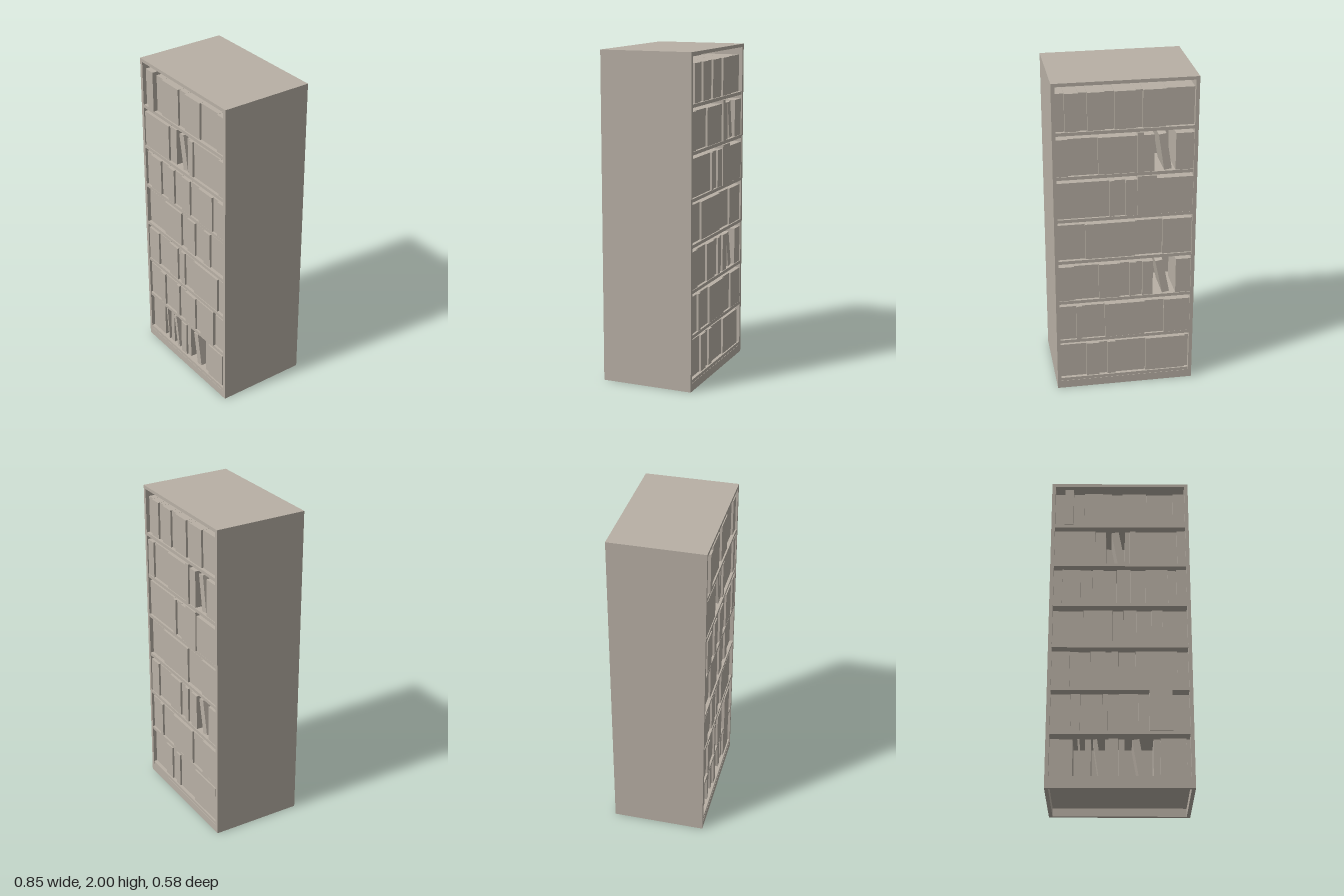
import * as THREE from 'three';

const W = 0.85, D = 0.57, H = 2, T = 0.022;
const BASE = 0.07, PITCH = 0.2725, BOOK_H = 0.228, TALL = 0.25;

// Each row, bottom first: book edges along x, skipped intervals, leaning books, one tall book
const FRONT = [
  { edges: [-.403, -.27, -.2, -.165, -.085, -.065, -.01, .025, .19, .23, .38, .403], gaps: [1, 3, 7],
    leans: [[-.243, -.213, .012], [-.155, -.097, .024], [.068, .148, .042]] },
  { edges: [-.403, -.285, -.23, -.1, -.07, -.005, .105, .17, .305, .403], tall: 7 },
  { edges: [-.403, -.295, -.175, -.085, -.05, -.01, .09, .335, .403] },
  { edges: [-.403, -.22, -.043, .02, .1, .19, .255, .403] },
  { edges: [-.403, -.35, -.24, -.165, -.1, -.02, .065, .155, .29, .34, .403] },
  { edges: [-.403, -.15, -.085, .03, .06, .095, .35, .403], gaps: [2], leans: [[-.053, .032, .045]] },
  { edges: [-.403, -.343, -.288, -.22, -.05, .015, .165, .33, .403], tall: 1 },
];

// Back rows, given along the back's own left-to-right direction
const BACK = [
  { edges: [-.403, -.24, -.16, -.11, -.06, .13, .38, .403] },
  { edges: [-.403, -.3, -.265, -.125, .12, .24, .403] },
  { edges: [-.403, -.31, -.16, -.03, .025, .065, .105, .17, .31, .403], gaps: [7], leans: [[.185, .275, .045]] },
  { edges: [-.403, -.24, .06, .225, .403] },
  { edges: [-.403, -.095, -.065, 0, .07, .185, .403], tall: 4 },
  { edges: [-.403, -.335, -.16, .07, .105, .17, .295, .403], gaps: [5], leans: [[.195, .275, .045]], tall: 3 },
  { edges: [-.403, -.35, -.27, -.22, -.12, -.065, .06, .1, .235, .403] },
];

export function createModel() {
  const model = new THREE.Group();
  model.name = 'doubleSidedBookcase';
  const greige = new THREE.MeshStandardMaterial({ color: 0xb8b0a5 });
  greige.name = 'warm grey';

  function box(parent, name, w, h, d, x, y, z) {
    const mesh = new THREE.Mesh(new THREE.BoxGeometry(w, h, d), greige);
    mesh.name = name;
    mesh.position.set(x, y, z);
    parent.add(mesh);
    return mesh;
  }

  // Carcass: sides, top, centre divider
  const carcass = new THREE.Group();
  carcass.name = 'carcass';
  model.add(carcass);
  for (const s of [-1, 1]) {
    box(carcass, s > 0 ? 'leftSide' : 'rightSide', T, H - 0.02, D, s * (W - T) / 2, (H - 0.02) / 2, 0);
    // Plinth rails leave the base hollow underneath
    box(carcass, s > 0 ? 'frontPlinth' : 'backPlinth', W - 2 * T, BASE - 0.02, T, 0, (BASE - 0.02) / 2, s * (D - T) / 2);
  }
  box(carcass, 'top', W, 0.02, D, 0, H - 0.01, 0);
  box(carcass, 'centreDivider', W - 2 * T, H - BASE - 0.02, 0.015, 0, (H + BASE - 0.02) / 2, 0);

  // Shelves
  for (let i = 0; i < 7; i++) {
    box(carcass, 'shelf', W - 2 * T, 0.02, D - 0.004, 0, BASE + i * PITCH - 0.01, 0);
  }

  // Books for one face of the case, with slightly uneven spine depths
  function addBooks(name, rows, turn) {
    const group = new THREE.Group();
    group.name = name;
    group.rotation.y = turn;
    model.add(group);
    rows.forEach((row, r) => {
      const y0 = BASE + r * PITCH;
      const { edges, gaps = [], leans = [], tall = -1 } = row;
      for (let i = 0; i < edges.length - 1; i++) {
        if (gaps.includes(i)) continue;
        const h = i === tall ? TALL : BOOK_H;
        const front = i === tall ? 0.289 : 0.262 + 0.004 * ((i * 3 + r * 2) % 6);
        const w = edges[i + 1] - edges[i] - 0.001;
        box(group, 'book', w, h, front - 0.06, (edges[i] + edges[i + 1]) / 2, y0 + h / 2, (front + 0.06) / 2);
      }
      // Leaning books, tipped toward the viewer's left
      for (const [x0, x1, w] of leans) {
        const angle = Math.asin(Math.max(0.02, x1 - x0 - w) / BOOK_H);
        const h = BOOK_H - w * Math.sin(angle) * 0.5;
        const y = y0 + (h * Math.cos(angle) + w * Math.sin(angle)) / 2;
        box(group, 'leaningBook', w, h, 0.2, (x0 + x1) / 2, y, 0.168).rotation.z = angle;
      }
    });
  }
  addBooks('frontBooks', FRONT, 0);
  addBooks('backBooks', BACK, Math.PI);

  return model;
}
